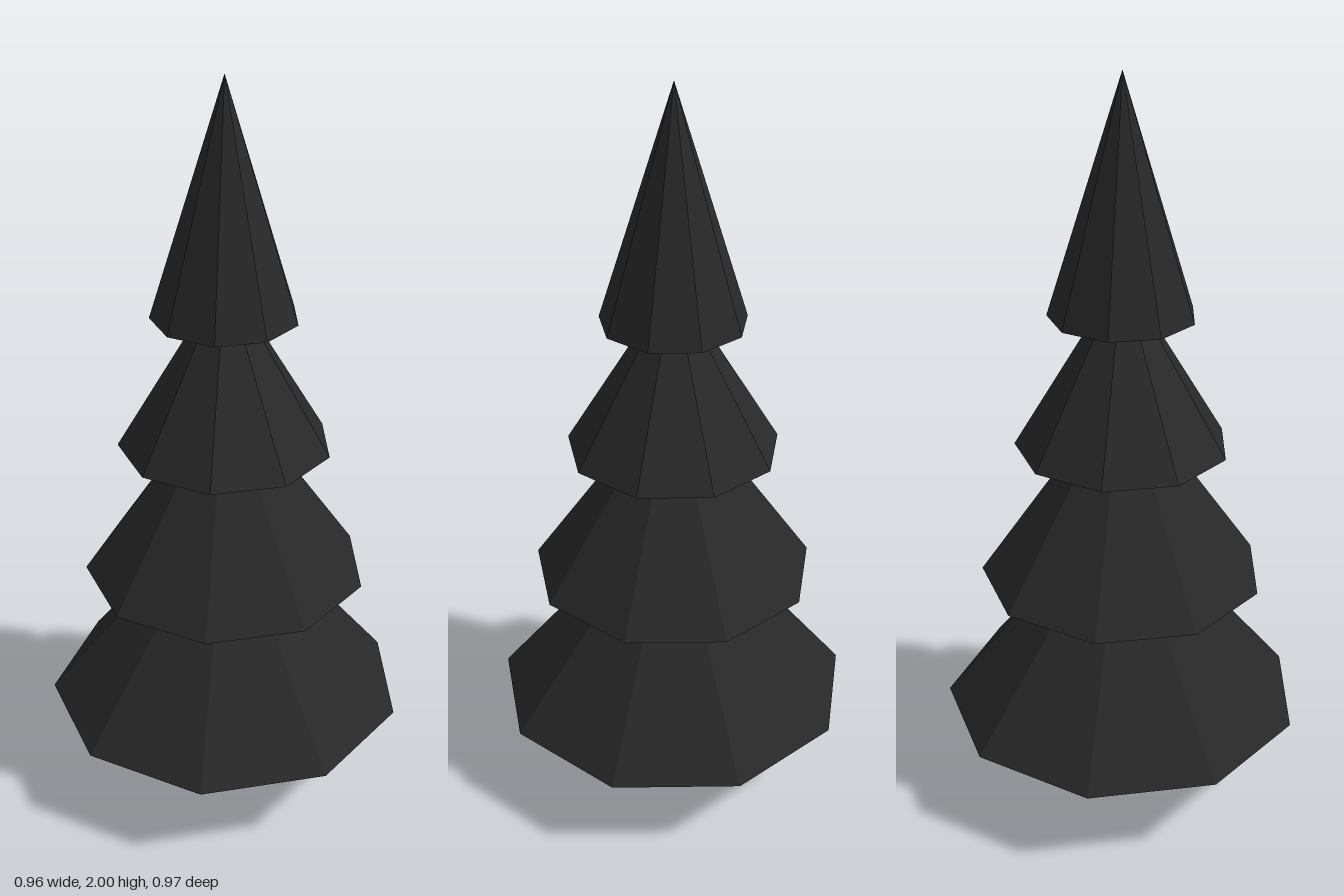
import * as THREE from 'three';

export function createModel() {
  const tree = new THREE.Group();
  tree.name = 'firTree';
  const foliage = new THREE.MeshStandardMaterial({ color: 0x282828, flatShading: true });
  foliage.name = 'charcoal foliage';
  const bark = new THREE.MeshStandardMaterial({ color: 0x3f2810, flatShading: true });
  bark.name = 'brown bark';

  // The trunk axis sits slightly off centre because the nine-sided tiers are asymmetric
  const axisX = -0.015;

  function addPart(name, geometry, material, baseY, height) {
    const mesh = new THREE.Mesh(geometry, material);
    mesh.name = name;
    mesh.position.set(axisX, baseY + height / 2, 0);
    tree.add(mesh);
  }

  // Tapered eight-sided trunk, running up into the lowest tier
  const trunkHeight = 0.3;
  addPart('trunk', new THREE.CylinderGeometry(0.069, 0.076, trunkHeight, 8), bark, 0, trunkHeight);

  // Stacked nine-sided cones, one corner pointing to +x
  const tiers = [
    { name: 'bottomTier', base: 0.245, apex: 0.855, radius: 0.495 },
    { name: 'lowerTier', base: 0.645, apex: 1.2, radius: 0.385 },
    { name: 'upperTier', base: 1.025, apex: 1.5, radius: 0.285 },
    { name: 'topTier', base: 1.385, apex: 2, radius: 0.193 },
  ];
  for (const { name, base, apex, radius } of tiers) {
    const height = apex - base;
    const cone = new THREE.ConeGeometry(radius, height, 9, 1, false, Math.PI / 2);
    addPart(name, cone, foliage, base, height);
  }

  return tree;
}
